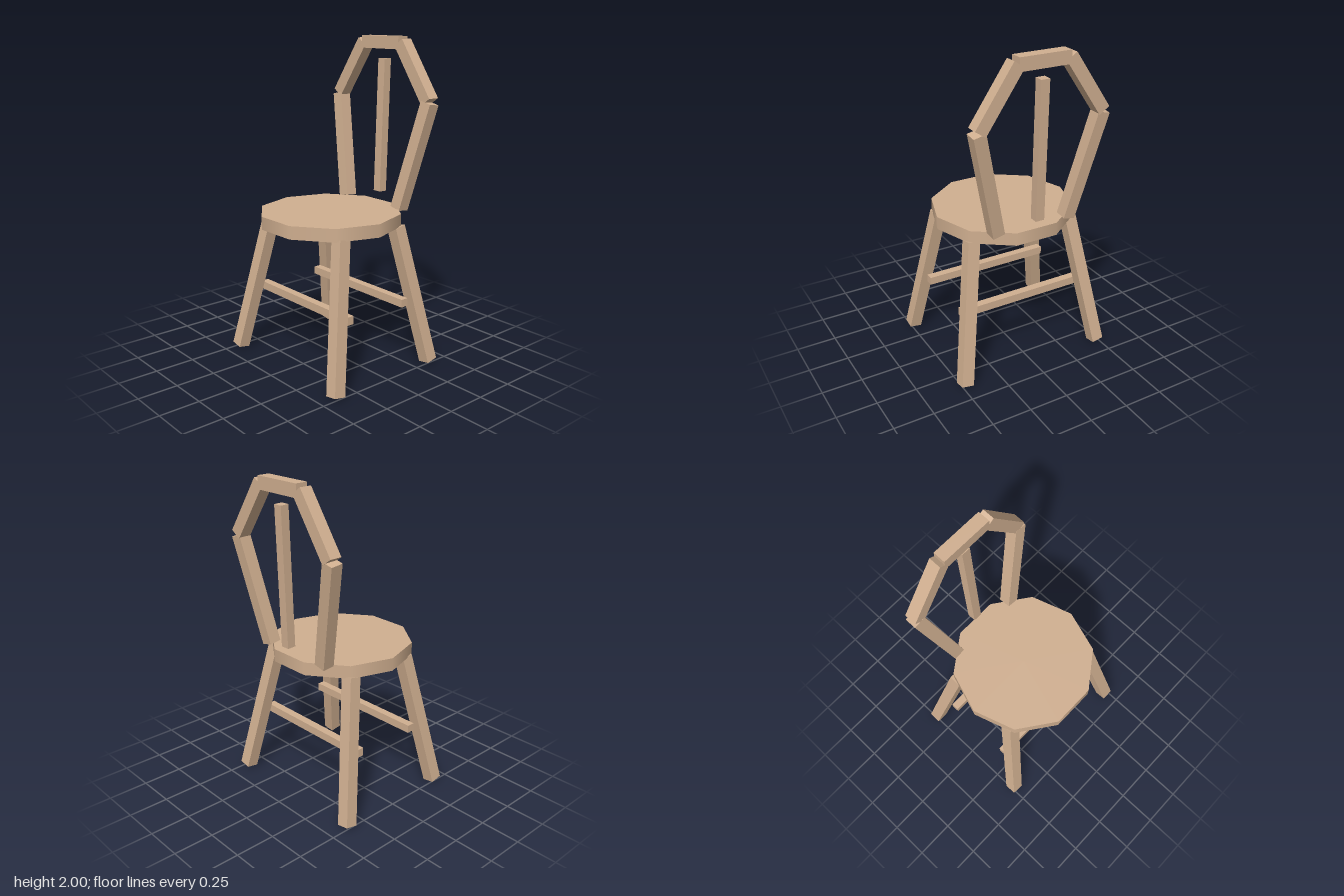
import * as THREE from 'three';

const wood = new THREE.MeshStandardMaterial({ color: 0xd0af90 });
wood.name = 'light wood';

export function createModel() {
  const chair = new THREE.Group();
  chair.name = 'chair';

  // Square bar running from point a to point b
  const bar = (name, a, b, width, depth = width) => {
    const start = new THREE.Vector3(...a);
    const end = new THREE.Vector3(...b);
    const axis = end.clone().sub(start);
    const mesh = new THREE.Mesh(new THREE.BoxGeometry(width, axis.length(), depth), wood);
    mesh.name = name;
    mesh.position.copy(start).add(end).multiplyScalar(0.5);
    mesh.quaternion.setFromUnitVectors(new THREE.Vector3(0, 1, 0), axis.normalize());
    chair.add(mesh);
  };

  // Ten-sided seat with corners on the left and right
  const seat = new THREE.Mesh(new THREE.CylinderGeometry(0.44, 0.44, 0.08, 10), wood);
  seat.name = 'seat';
  seat.rotation.y = Math.PI / 10;
  seat.position.set(0, 0.92, 0.029);
  chair.add(seat);

  const T = 0.077; // thickness of the main bars
  const midZ = 0.012; // centre line of the leg frame

  for (const s of [1, -1]) {
    const side = s > 0 ? 'left' : 'right';

    // Splayed legs
    for (const f of [1, -1]) {
      const end = f > 0 ? 'Front' : 'Back';
      bar(side + end + 'Leg', [s * 0.479, 0.015, midZ + f * 0.381],
        [s * 0.336, 0.882, midZ + f * 0.22], T);
    }

    // Back frame: leaning upright and angled shoulder
    bar(side + 'BackUpright', [s * 0.239, 0.958, -0.328], [s * 0.397, 1.617, -0.408], T);
    bar(side + 'BackShoulder', [s * 0.395, 1.624, -0.409], [s * 0.162, 1.963, -0.409], T);
  }

  // Stretchers between the legs
  bar('frontStretcher', [-0.42, 0.415, midZ + 0.222], [0.42, 0.415, midZ + 0.222], 0.05);
  bar('backStretcher', [-0.42, 0.415, midZ - 0.222], [0.42, 0.415, midZ - 0.222], 0.05);

  // Top rail and centre spindle
  bar('topRail', [-0.162, 1.961, -0.409], [0.162, 1.961, -0.409], 0.078, T);
  bar('spindle', [0, 1.02, -0.391], [0, 1.862, -0.417], 0.057, 0.054);

  return chair;
}
